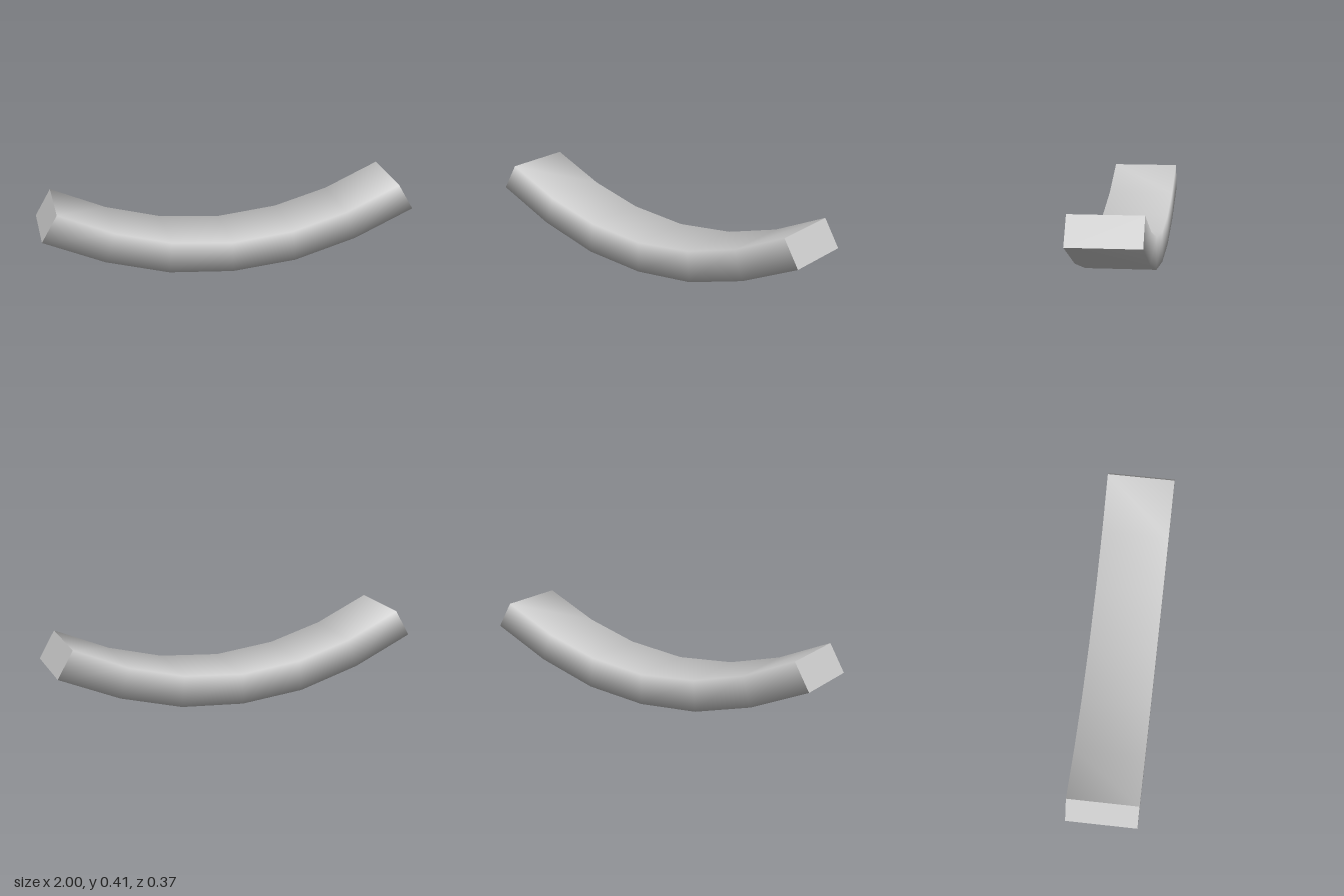
import * as THREE from 'three';

const HALF_DEPTH = 0.185;

// Half profile from the middle to the tip: [bottom x, bottom y, top x, top y]
const half = [
  [0, 0.002, 0, 0.168],
  [0.345, 0.032, 0.33, 0.2],
  [0.68, 0.127, 0.625, 0.282],
  [1, 0.27, 0.917, 0.413],
];

function makeMesh(name, positions, index) {
  const geometry = new THREE.BufferGeometry();
  geometry.setAttribute('position', new THREE.Float32BufferAttribute(positions, 3));
  geometry.setIndex(index);
  geometry.computeVertexNormals();
  const mesh = new THREE.Mesh(geometry, new THREE.MeshStandardMaterial({ color: 0xcccccc }));
  mesh.name = name;
  return mesh;
}

export function createModel() {
  const group = new THREE.Group();
  group.name = 'curvedBeam';

  // Mirror the half profile to run from the right tip to the left tip
  const mirrored = half.slice(1).reverse().map(([bx, by, tx, ty]) => [-bx, by, -tx, ty]);
  const rings = [...mirrored, ...half].map(([bx, by, tx, ty]) => [
    [bx, by, HALF_DEPTH], [tx, ty, HALF_DEPTH],
    [tx, ty, -HALF_DEPTH], [bx, by, -HALF_DEPTH],
  ]);

  // Smoothly shaded four-sided body
  const index = [];
  for (let i = 0; i < rings.length - 1; i++) {
    for (let k = 0; k < 4; k++) {
      const next = (k + 1) % 4;
      const a = i * 4 + k, b = a + 4, c = (i + 1) * 4 + next, d = i * 4 + next;
      index.push(a, b, c, a, c, d);
    }
  }
  group.add(makeMesh('beamBody', rings.flat(2), index));

  // Flat end caps
  group.add(makeMesh('rightEndCap', rings[0].flat(), [0, 1, 2, 0, 2, 3]));
  group.add(makeMesh('leftEndCap', rings[rings.length - 1].flat(), [0, 3, 2, 0, 2, 1]));
  return group;
}
